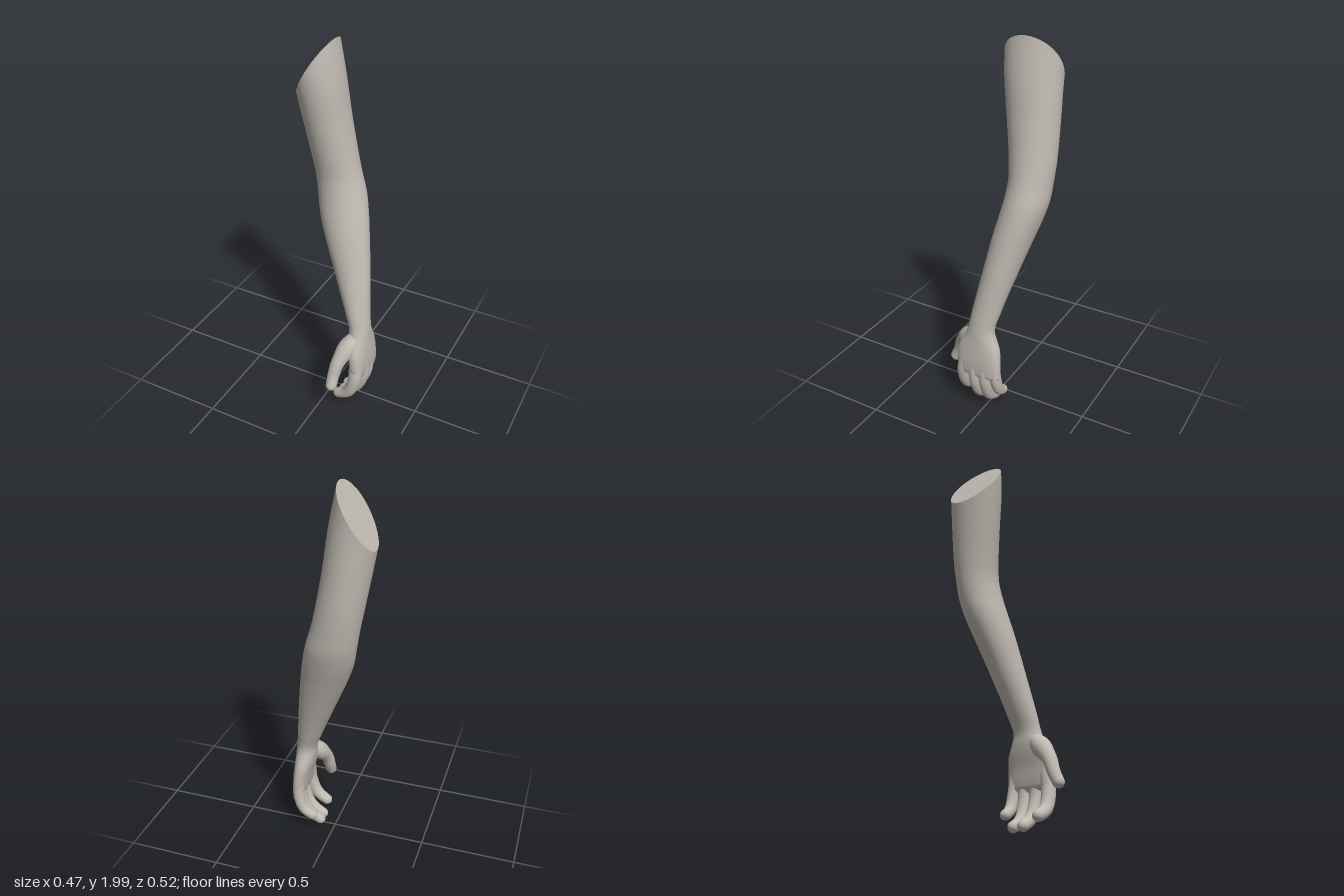
import * as THREE from 'three';

const SIDES = 40;

// Rows of SIDES points joined into one smooth skin
function skin(rows, point) {
  const pos = [], index = [];
  for (let i = 0; i <= rows; i++) {
    for (let j = 0; j < SIDES; j++) {
      pos.push(...point(i / rows, (j / SIDES) * Math.PI * 2));
      if (i === rows) continue;
      const a = i * SIDES + j, b = i * SIDES + ((j + 1) % SIDES);
      index.push(a, b, a + SIDES, b, b + SIDES, a + SIDES);
    }
  }
  const geo = new THREE.BufferGeometry();
  geo.setAttribute('position', new THREE.Float32BufferAttribute(pos, 3));
  geo.setIndex(index);
  geo.computeVertexNormals();
  return geo;
}

// Horizontal sections: y, xMin, xMax, zMin, zMax, squareness
const SECTIONS = [
  [0.205, 0.185, 0.195, 0.015, 0.025, 1],
  [0.225, 0.165, 0.222, -0.085, 0.13, 0.8],
  [0.26, 0.155, 0.229, -0.097, 0.15, 0.8],
  [0.33, 0.143, 0.23, -0.095, 0.155, 0.8],
  [0.4, 0.125, 0.226, -0.085, 0.145, 0.85],
  [0.45, 0.117, 0.223, -0.064, 0.118, 0.9],
  [0.5, 0.113, 0.22, -0.05, 0.1, 1],
  [0.6, 0.075, 0.208, -0.07, 0.085, 1],
  [0.8, -0.01, 0.182, -0.125, 0.052, 1],
  [1.0, -0.095, 0.15, -0.185, 0.02, 1],
  [1.1, -0.13, 0.13, -0.217, 0.0, 1],
  [1.2, -0.15, 0.105, -0.243, -0.02, 1],
  [1.3, -0.167, 0.073, -0.251, -0.03, 1],
  [1.4, -0.185, 0.05, -0.256, -0.02, 1],
  [1.6, -0.218, 0.016, -0.254, 0.012, 1],
  [1.8, -0.25, -0.01, -0.25, 0.043, 1],
  [2.0, -0.285, -0.05, -0.256, 0.06, 1],
];
const sections = new THREE.CubicInterpolant(
  SECTIONS.map((s) => s[0]), SECTIONS.flatMap((s) => s.slice(1)), 5);

function armPoint(y, a) {
  const [x0, x1, z0, z1, e] = sections.evaluate(y);
  const c = Math.cos(a), s = -Math.sin(a);
  const px = Math.sign(c) * Math.abs(c) ** e, pz = Math.sign(s) * Math.abs(s) ** e;
  return [(x0 + x1) / 2 + px * (x1 - x0) / 2, y, (z0 + z1) / 2 + pz * (z1 - z0) / 2];
}

// Height of the slanted cut on one side of the arm
function cutHeight(a) {
  let y = 1.85;
  for (let k = 0; k < 40; k++) {
    const target = 1.7 + (armPoint(y, a)[0] + 0.235) * 1.62;
    y = Math.min(2, (y + target) / 2);
  }
  return y;
}

// Tapered finger along a path with a round tip; path points are x, y, z, radius
function finger(path) {
  const curve = new THREE.CatmullRomCurve3(path.map((p) => new THREE.Vector3(p[0], p[1], p[2])));
  const rows = 40, length = curve.getLength();
  const frames = curve.computeFrenetFrames(400);
  const radii = new THREE.CubicInterpolant(path.map((p, i) => i / (path.length - 1)), path.map((p) => p[3]), 1);
  const tip = path[path.length - 1][3];
  return skin(rows, (t, a) => {
    const u = Math.sin(t * Math.PI / 2);
    const k = Math.round(u * 400);
    const over = Math.max(0, (u * length - (length - tip)) / tip);
    const r = radii.evaluate(u)[0] * Math.sqrt(Math.max(0, 1 - over * over));
    return curve.getPointAt(u)
      .addScaledVector(frames.normals[k], r * Math.cos(a))
      .addScaledVector(frames.binormals[k], r * Math.sin(a)).toArray();
  });
}

const FINGERS = {
  thumb: [[0.17, 0.47, 0.06, 0.035], [0.135, 0.405, 0.125, 0.05], [0.11, 0.335, 0.18, 0.038],
    [0.1, 0.27, 0.205, 0.032], [0.1, 0.192, 0.242, 0.029]],
  indexFinger: [[0.187, 0.31, 0.112, 0.036], [0.186, 0.21, 0.125, 0.036],
    [0.15, 0.115, 0.128, 0.033], [0.065, 0.06, 0.12, 0.027]],
  middleFinger: [[0.195, 0.31, 0.05, 0.035], [0.195, 0.18, 0.048, 0.034],
    [0.155, 0.085, 0.045, 0.031], [0.062, 0.022, 0.042, 0.027]],
  ringFinger: [[0.195, 0.31, -0.012, 0.034], [0.192, 0.18, -0.012, 0.034],
    [0.15, 0.08, -0.01, 0.031], [0.06, 0.022, -0.01, 0.027]],
  littleFinger: [[0.19, 0.31, -0.062, 0.031], [0.185, 0.21, -0.072, 0.031],
    [0.155, 0.135, -0.073, 0.029], [0.085, 0.09, -0.068, 0.025]],
};

export function createModel() {
  const model = new THREE.Group();
  const clay = new THREE.MeshStandardMaterial({ color: 0xbfb9b1 });
  clay.name = 'warm grey';
  const add = (name, geo) => {
    const mesh = new THREE.Mesh(geo, clay);
    mesh.name = name;
    model.add(mesh);
  };

  // Arm and palm in one skin; rows lean into the slanted cut above the elbow
  add('armAndPalm', skin(110, (t, a) => {
    const y = t < 0.75 ? 0.205 + (1.4 - 0.205) * t / 0.75
      : 1.4 + (cutHeight(a) - 1.4) * (t - 0.75) / 0.25;
    return armPoint(y, a);
  }));

  // Flat face closing the shoulder end
  const rim = [];
  for (let j = 0; j <= SIDES; j++) {
    const a = (j / SIDES) * Math.PI * 2;
    rim.push(armPoint(cutHeight(a), a));
  }
  const center = [0, 1, 2].map((k) => (rim[0][k] + rim[SIDES / 2][k]) / 2);
  const cap = new THREE.BufferGeometry();
  cap.setAttribute('position', new THREE.Float32BufferAttribute(
    rim.slice(1).flatMap((p, j) => [...center, ...rim[j], ...p]), 3));
  cap.computeVertexNormals();
  add('shoulderCut', cap);

  for (const [name, path] of Object.entries(FINGERS)) add(name, finger(path));
  return model;
}
